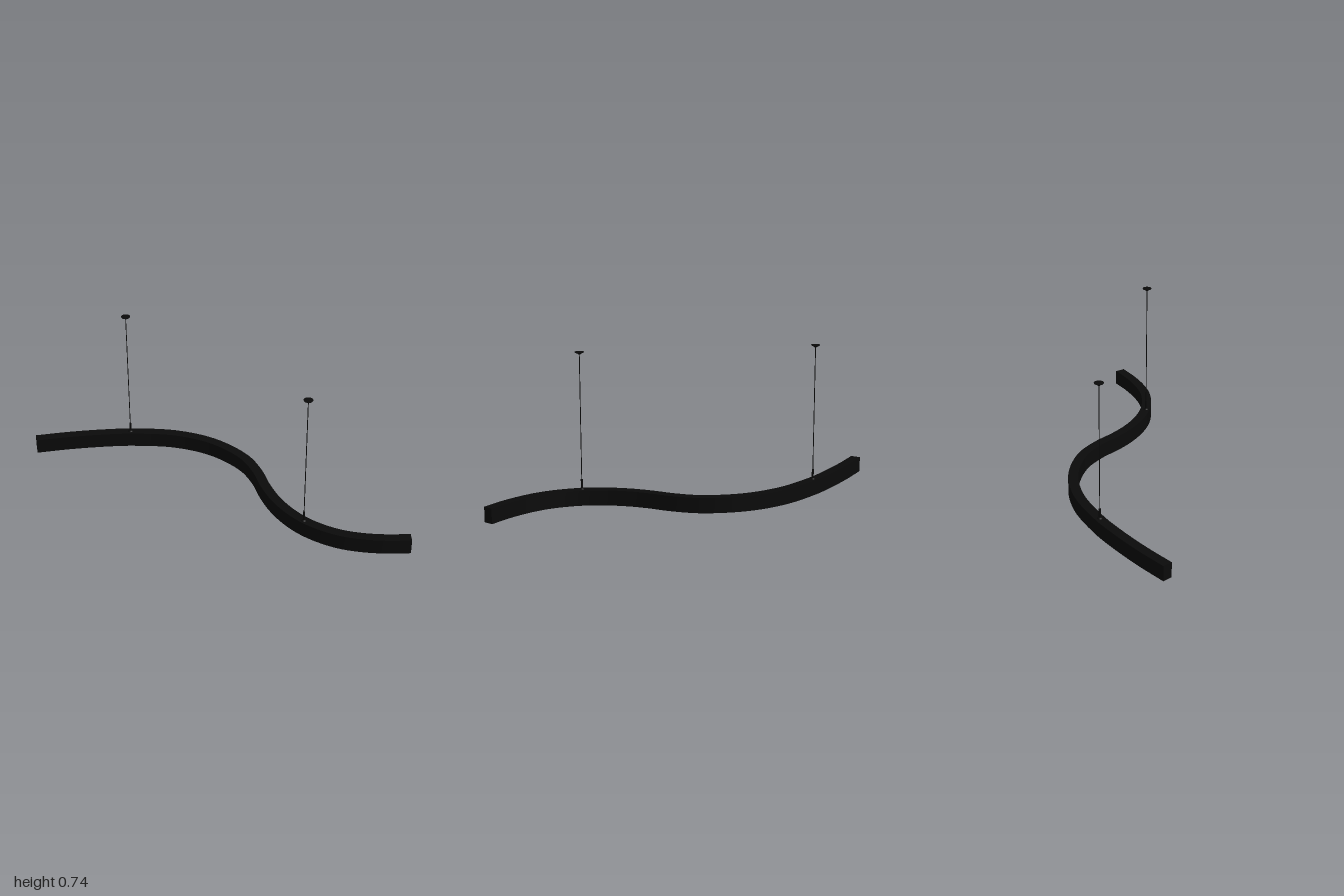
import * as THREE from 'three';

const black = new THREE.MeshStandardMaterial({ color: 0x0a0a0a });
const diffuserGrey = new THREE.MeshStandardMaterial({ color: 0x999999 });

// Plan of the wavy beam, as x, z centre points
const path = new THREE.CatmullRomCurve3([
  [-0.984, 0.224], [-0.86, 0.112], [-0.72, 0], [-0.6, -0.083], [-0.4, -0.183], [-0.2, -0.218],
  [0, -0.182], [0.12, -0.11], [0.21, -0.03], [0.3, 0.035], [0.4, 0.085], [0.5, 0.114],
  [0.6, 0.122], [0.7, 0.112], [0.8, 0.08], [0.9, 0.03], [0.988, -0.027],
].map(([x, z]) => new THREE.Vector3(x, 0, z)));

// Sweeps a counter-clockwise [side, height] profile along the path, with flat end caps
function sweep(profile, from, to, steps) {
  const positions = [], index = [];
  const rings = [];
  for (let i = 0; i <= steps; i++) {
    const u = from + (to - from) * i / steps;
    const p = path.getPointAt(u), t = path.getTangentAt(u);
    rings.push(profile.map(([n, y]) => [p.x - t.z * n, y, p.z + t.x * n]));
  }
  const n = profile.length;
  // each side has its own vertices, so the long edges stay sharp
  for (let k = 0; k < n; k++) {
    const base = positions.length / 3;
    rings.forEach((ring, i) => {
      positions.push(...ring[k], ...ring[(k + 1) % n]);
      if (i < steps) {
        const a = base + i * 2;
        index.push(a, a + 2, a + 3, a, a + 3, a + 1);
      }
    });
  }
  const faces = THREE.ShapeUtils.triangulateShape(profile.map(([x, y]) => new THREE.Vector2(x, y)), []);
  [rings[0], rings[steps]].forEach((ring, end) => {
    const base = positions.length / 3;
    ring.forEach((v) => positions.push(...v));
    faces.forEach(([a, b, c]) => index.push(base + a, base + (end ? c : b), base + (end ? b : c)));
  });
  const geometry = new THREE.BufferGeometry();
  geometry.setAttribute('position', new THREE.Float32BufferAttribute(positions, 3));
  geometry.setIndex(index);
  geometry.computeVertexNormals();
  return geometry;
}

function addMesh(parent, name, geometry, material, y = 0) {
  const mesh = new THREE.Mesh(geometry, material);
  mesh.name = name;
  mesh.position.y = y;
  parent.add(mesh);
  return mesh;
}

const lathe = (points) =>
  new THREE.LatheGeometry(points.map(([r, y]) => new THREE.Vector2(r, y)), 32);

// Suspension cable with its grip on the beam and its ceiling canopy
function createSuspension(name, x, z) {
  const group = new THREE.Group();
  group.name = name;
  group.position.set(x, 0, z);
  addMesh(group, 'gripBase', lathe([[0.012, 0.074], [0.012, 0.076], [0.009, 0.079], [0.005, 0.081], [0, 0.081]]), black);
  addMesh(group, 'cableGrip', new THREE.CylinderGeometry(0.005, 0.005, 0.05, 20), black, 0.099);
  addMesh(group, 'cable', new THREE.CylinderGeometry(0.002, 0.002, 0.615, 10), black, 0.4275);
  addMesh(group, 'canopy', lathe([
    [0, 0.731], [0.005, 0.731], [0.008, 0.734], [0.013, 0.737], [0.021, 0.741], [0.022, 0.744], [0, 0.744],
  ]), black);
  return group;
}

export function createModel() {
  const model = new THREE.Group();
  model.name = 'pendantLamp';

  // Beam housing with a shallow channel underneath
  const w = 0.024, h = 0.075, slot = 0.016, depth = 0.006, cap = 0.004;
  addMesh(model, 'housing', sweep([
    [-w, 0], [-slot, 0], [-slot, depth], [slot, depth], [slot, 0], [w, 0], [w, h], [-w, h],
  ], cap, 1 - cap, 120), black);

  // Light strip set into the channel
  addMesh(model, 'diffuser', sweep([
    [-slot, 0.002], [slot, 0.002], [slot, depth], [-slot, depth],
  ], cap, 1 - cap, 120), diffuserGrey);

  // Solid plates closing both ends
  const plate = [[-w, 0], [w, 0], [w, h], [-w, h]];
  addMesh(model, 'rightEndCap', sweep(plate, 0, cap, 1), black);
  addMesh(model, 'leftEndCap', sweep(plate, 1 - cap, 1, 1), black);

  model.add(createSuspension('rightSuspension', -0.61, -0.077));
  model.add(createSuspension('leftSuspension', 0.505, 0.12));
  return model;
}
